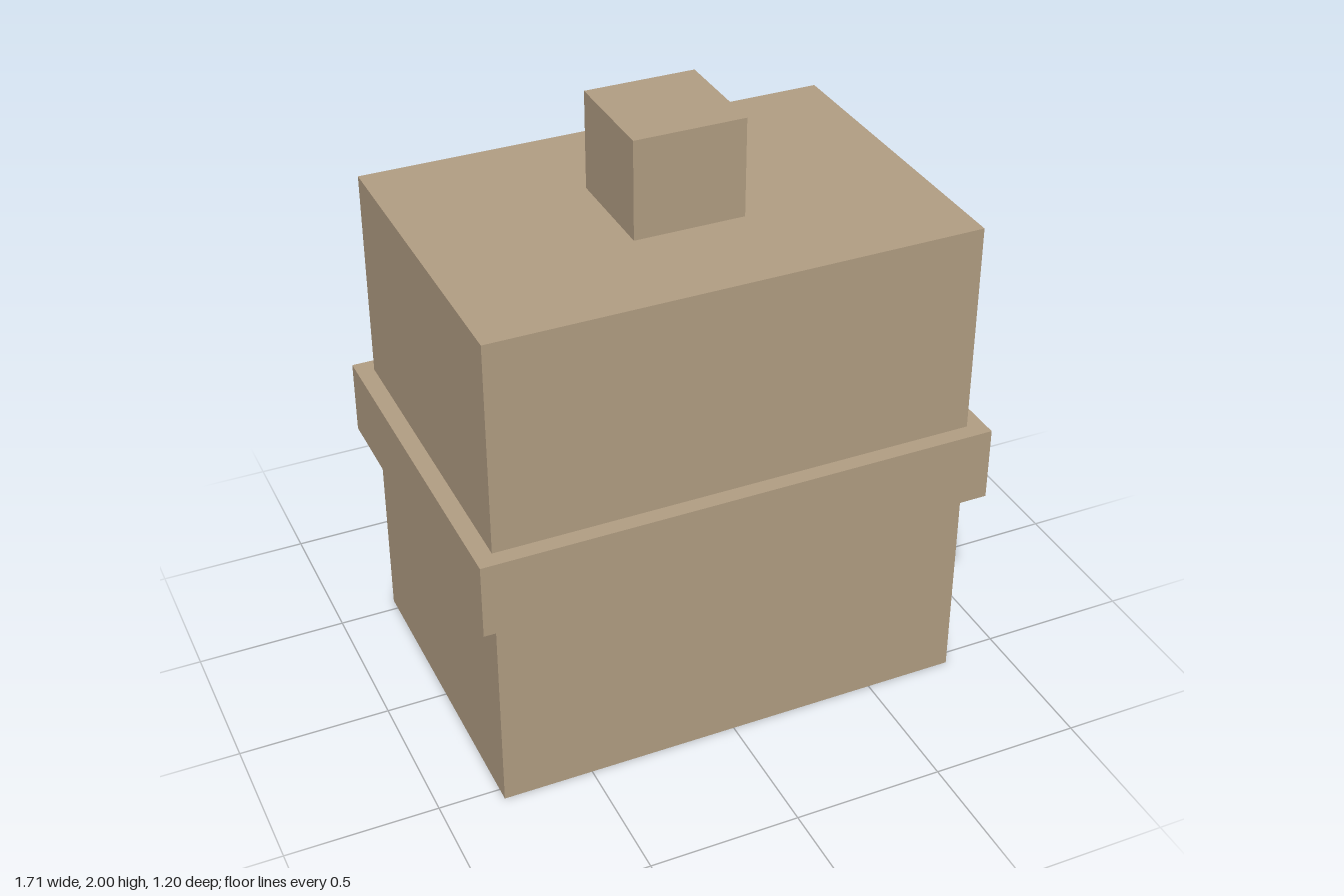
import * as THREE from 'three';

export function createModel() {
  const group = new THREE.Group();
  const material = new THREE.MeshStandardMaterial({ color: 0xb39f84 });

  // Box centred on x and z, spanning bottom to top in y
  function block(name, width, depth, bottom, top) {
    const mesh = new THREE.Mesh(new THREE.BoxGeometry(width, top - bottom, depth), material);
    mesh.name = name;
    mesh.position.y = (bottom + top) / 2;
    group.add(mesh);
  }

  block('body', 1.595, 1.09, 0, 1.673);
  // Raised band around the middle
  block('band', 1.71, 1.2, 0.713, 0.963);
  // Square neck on the lid
  block('neck', 0.365, 0.365, 1.673, 2);

  return group;
}
